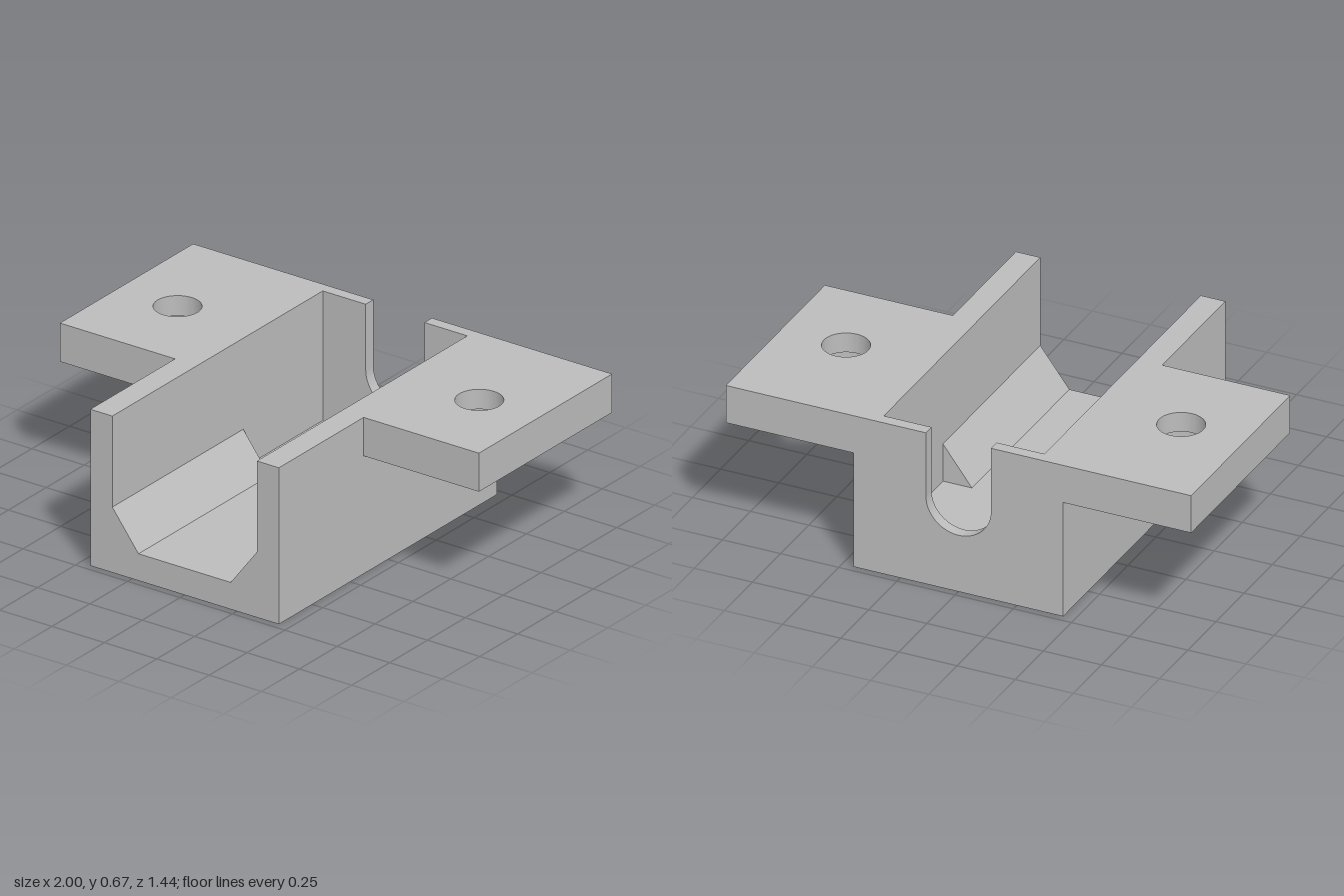
import * as THREE from 'three';
import { toCreasedNormals } from 'three/addons/utils/BufferGeometryUtils.js';

const HEIGHT = 0.67, BACK = -0.72, FRONT = 0.72;

const polygon = (points) => new THREE.Shape(points.map(([x, y]) => new THREE.Vector2(x, y)));

const extrude = (shape, depth) => toCreasedNormals(
  new THREE.ExtrudeGeometry(shape, { depth, bevelEnabled: false, curveSegments: 32 }), 0.5);

export function createModel() {
  const model = new THREE.Group();
  model.name = 'bracket';
  const grey = new THREE.MeshStandardMaterial({ color: 0xbcbcbc });
  grey.name = 'plain grey';

  const add = (name, geometry) => {
    const mesh = new THREE.Mesh(geometry, grey);
    mesh.name = name;
    model.add(mesh);
  };
  // Profile in x and y, running from z0 to z1
  const alongZ = (shape, z0, z1) => extrude(shape, z1 - z0).translate(0, 0, z0);
  // Outline in x and -z, running from y0 to y1
  const alongY = (shape, y0, y1) => extrude(shape, y1 - y0).rotateX(-Math.PI / 2).translate(0, y0, 0);

  // Open channel with a flat floor
  add('channel', alongZ(polygon([
    [-0.45, 0], [0.45, 0], [0.45, HEIGHT], [0.345, HEIGHT], [0.345, 0.115],
    [-0.345, 0.115], [-0.345, HEIGHT], [-0.45, HEIGHT],
  ]), -0.67, FRONT));

  // Thin back wall with a round-bottomed slot
  const wall = new THREE.Shape();
  wall.moveTo(-0.45, 0);
  wall.lineTo(0.45, 0);
  wall.lineTo(0.45, HEIGHT);
  wall.lineTo(0.14, HEIGHT);
  wall.lineTo(0.14, 0.39);
  wall.absarc(0, 0.39, 0.14, 0, -Math.PI, true);
  wall.lineTo(-0.14, HEIGHT);
  wall.lineTo(-0.45, HEIGHT);
  add('backWall', alongZ(wall, BACK, -0.67));

  for (const side of [-1, 1]) {
    const label = side > 0 ? 'left' : 'right';

    // Sloped corner filler in the front part of the channel
    add(label + 'Chamfer', alongZ(polygon([
      [side * 0.22, 0.115], [side * 0.345, 0.115], [side * 0.345, 0.28],
    ]), -0.145, FRONT));

    // Mounting ear: small hole above, wider counterbore below
    const ear = (radius) => {
      const shape = polygon([
        [side * 0.45, -0.16], [side, -0.16], [side, -BACK], [side * 0.45, -BACK],
      ]);
      shape.holes.push(new THREE.Path().absarc(side * 0.72, 0.23, radius, 0, Math.PI * 2, false));
      return shape;
    };
    add(label + 'EarTop', alongY(ear(0.095), 0.585, HEIGHT));
    add(label + 'EarCounterbore', alongY(ear(0.185), 0.505, 0.585));
  }
  return model;
}
